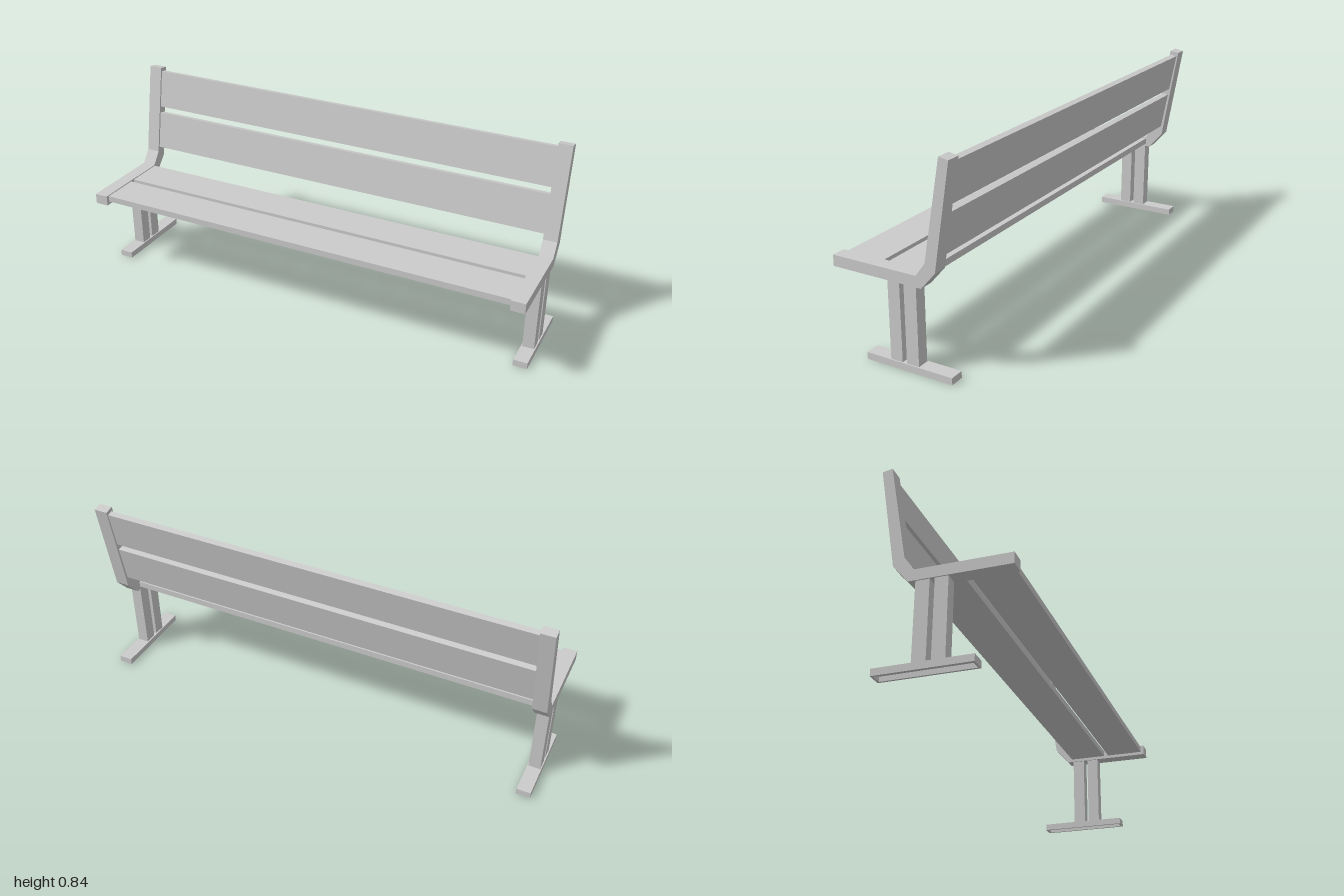
import * as THREE from 'three';

const material = new THREE.MeshStandardMaterial({ color: 0xcccccc, flatShading: true });

function addMesh(parent, name, geometry, x = 0, y = 0, z = 0) {
  const mesh = new THREE.Mesh(geometry, material);
  mesh.name = name;
  mesh.position.set(x, y, z);
  parent.add(mesh);
  return mesh;
}

// Rectangle outline as points; z is stored negated so it lies flat after rotation
function rectangle(width, zBack, zFront, inset = 0) {
  const w = width / 2 - inset, a = -zFront + inset, b = -zBack - inset;
  return [[-w, a], [w, a], [w, b], [-w, b]].map(([x, y]) => new THREE.Vector2(x, y));
}

// Upright prism with rectangular openings
function prism(outline, holes, height) {
  const shape = new THREE.Shape(outline);
  holes.forEach((hole) => shape.holes.push(new THREE.Path(hole)));
  return new THREE.ExtrudeGeometry(shape, { depth: height, bevelEnabled: false }).rotateX(-Math.PI / 2);
}

const FRAME_WIDTH = 0.06;
const LEG_WIDTH = 0.05;
const WALL = 0.008;
const LEGS = [[-0.032, 0.02], [-0.105, -0.051]]; // back and front z of each post
const FOOT = [-0.252, 0.127];
const FOOT_HEIGHT = 0.028;
const SEAT_BOTTOM = 0.345;

// Bent bar carrying seat and backrest, profile as (z, y)
function frameGeometry() {
  const profile = [
    [0.262, 0.345], [0.262, 0.39], [-0.109, 0.39], [-0.15, 0.445],
    [-0.222, 0.843], [-0.262, 0.836], [-0.193, 0.417], [-0.131, 0.345],
  ];
  const shape = new THREE.Shape(profile.map(([z, y]) => new THREE.Vector2(-z, y)));
  return new THREE.ExtrudeGeometry(shape, { depth: FRAME_WIDTH, bevelEnabled: false })
    .translate(0, 0, -FRAME_WIDTH / 2)
    .rotateY(Math.PI / 2);
}

function createEnd(name, x) {
  const end = new THREE.Group();
  end.name = name;
  end.position.x = x;
  addMesh(end, 'bentFrame', frameGeometry());

  // Hollow posts
  const bores = LEGS.map(([back, front]) => rectangle(LEG_WIDTH, back, front, WALL));
  LEGS.forEach(([back, front], i) => {
    const post = prism(rectangle(LEG_WIDTH, back, front), [bores[i]], SEAT_BOTTOM - FOOT_HEIGHT);
    addMesh(end, 'legPost', post, 0, FOOT_HEIGHT, 0);
  });

  // Foot: rim open underneath, with a plate pierced below the posts
  const rimHeight = FOOT_HEIGHT - WALL;
  const outline = rectangle(FRAME_WIDTH, ...FOOT);
  addMesh(end, 'footRim', prism(outline, [rectangle(FRAME_WIDTH, ...FOOT, WALL)], rimHeight));
  addMesh(end, 'footPlate', prism(outline, bores, WALL), 0, rimHeight, 0);
  return end;
}

export function createModel() {
  const bench = new THREE.Group();
  bench.name = 'bench';

  bench.add(createEnd('leftEnd', 0.97), createEnd('rightEnd', -0.97));

  // Seat slats
  const slat = new THREE.BoxGeometry(1.88, 0.027, 0.168);
  for (const z of [0.163, -0.027]) addMesh(bench, 'seatSlat', slat, 0, 0.372, z);

  // Backrest slats, leaning with the frame
  const backSlat = new THREE.BoxGeometry(1.88, 0.168, 0.027);
  for (const [y, z] of [[0.74, -0.225], [0.545, -0.19]]) {
    addMesh(bench, 'backSlat', backSlat, 0, y, z).rotation.x = -Math.atan2(0.072, 0.398);
  }
  return bench;
}
